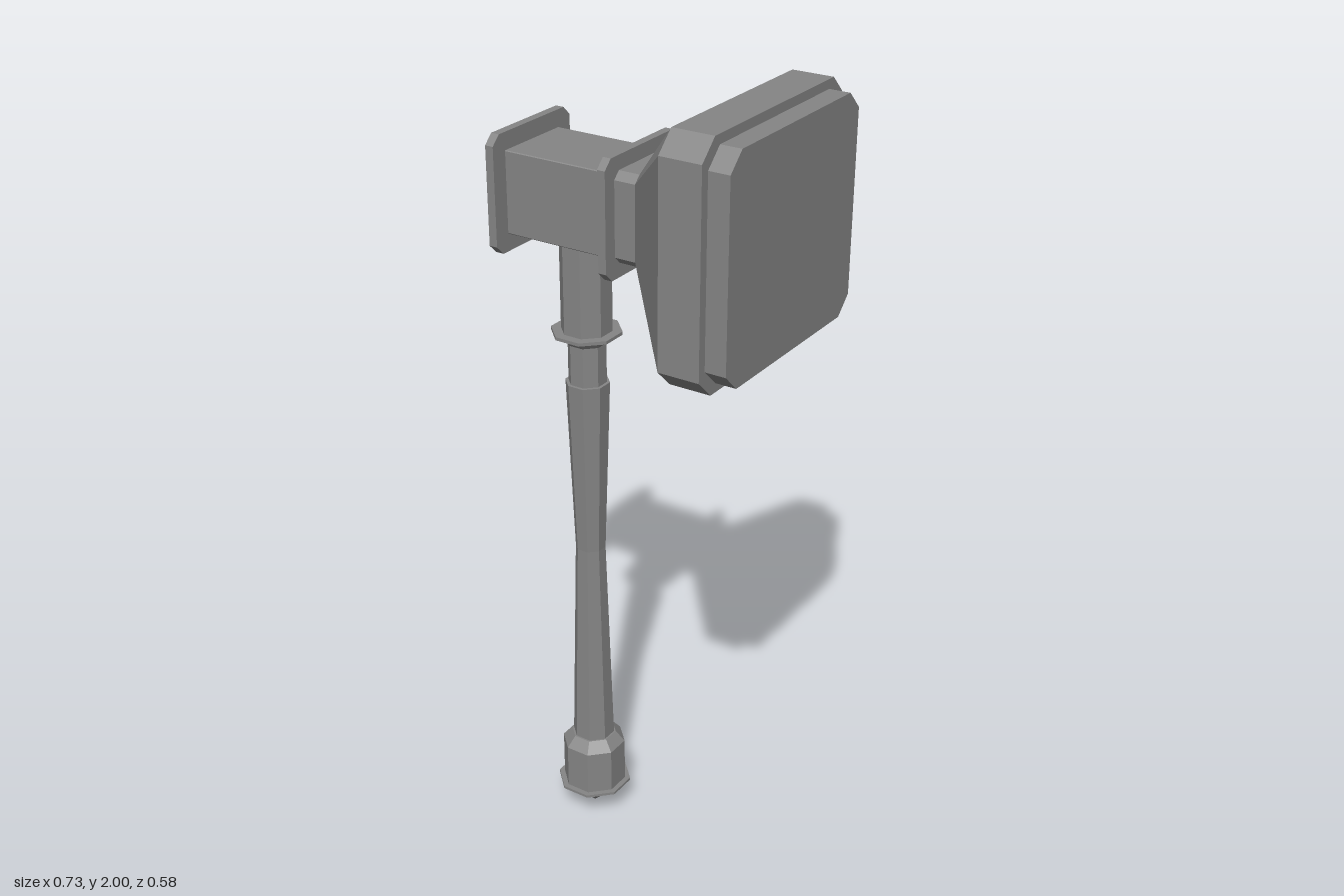
import * as THREE from 'three';

const HEAD_Y = 1.7212;   // axis of the hammer head
const HANDLE_X = -0.173; // axis of the handle
const Y_SCALE = 0.966;   // head is slightly lower than it is wide

const material = new THREE.MeshStandardMaterial({ color: 0x858585, flatShading: true });

function addMesh(group, name, geometry) {
  const flat = geometry.index ? geometry.toNonIndexed() : geometry;
  flat.computeVertexNormals();
  const mesh = new THREE.Mesh(flat, material);
  mesh.name = name;
  group.add(mesh);
}

// Closed loft along x through chamfered squares: [x, half width, chamfer]
function loftX(sections) {
  const rings = sections.map(([x, h, c]) => {
    const k = h - c;
    return [[h, -k], [h, k], [k, h], [-k, h], [-h, k], [-h, -k], [-k, -h], [k, -h]]
      .map(([y, z]) => [x, y * Y_SCALE, z]);
  });
  const pos = [];
  const tri = (...corners) => corners.forEach((p) => pos.push(...p));
  for (let i = 0; i < rings.length - 1; i++) {
    for (let j = 0; j < 8; j++) {
      const n = (j + 1) % 8;
      const a = rings[i][j], b = rings[i][n], c = rings[i + 1][n], d = rings[i + 1][j];
      tri(a, b, c);
      tri(a, c, d);
    }
  }
  const first = rings[0], last = rings[rings.length - 1];
  for (let j = 1; j < 7; j++) {
    tri(first[0], first[j + 1], first[j]);
    tri(last[0], last[j], last[j + 1]);
  }
  const geometry = new THREE.BufferGeometry();
  geometry.setAttribute('position', new THREE.Float32BufferAttribute(pos, 3));
  return geometry;
}

// Octagonal turned part, flats facing the axes: [half width across flats, y]
function octagon(profile) {
  const points = profile.map(([r, y]) => new THREE.Vector2(r / Math.cos(Math.PI / 8), y));
  return new THREE.LatheGeometry(points, 8).rotateY(Math.PI / 8);
}

export function createModel() {
  const model = new THREE.Group();
  model.name = 'warHammer';

  // Head: small rear cap, square body, ring, neck and flared striking end
  const head = new THREE.Group();
  head.name = 'head';
  head.position.set(0, HEAD_Y, -0.001);
  const headParts = {
    rearCap: [[-0.365, 0.1, 0.016], [-0.333, 0.144, 0.023], [-0.312, 0.144, 0.023]],
    body: [[-0.315, 0.101, 0.002], [-0.03, 0.101, 0.002]],
    ring: [[-0.035, 0.144, 0.023], [-0.015, 0.144, 0.023]],
    neck: [[-0.016, 0.109, 0.018], [0.038, 0.109, 0.018]],
    flare: [[0.038, 0.109, 0.018], [0.213, 0.2885, 0.047], [0.314, 0.2885, 0.047]],
    strikingPlate: [[0.31, 0.266, 0.043], [0.365, 0.266, 0.043]],
  };
  for (const [name, sections] of Object.entries(headParts)) addMesh(head, name, loftX(sections));
  model.add(head);

  // Handle: pointed pommel, waisted grip, shaft neck, collar and socket
  const handle = new THREE.Group();
  handle.name = 'handle';
  handle.position.set(HANDLE_X, 0, -0.003);
  const handleParts = {
    pommelTip: [[0, 0], [0.07, 0.075], [0.089, 0.079], [0.089, 0.086], [0, 0.086]],
    pommel: [[0, 0.084], [0.076, 0.084], [0.076, 0.207], [0.054, 0.235], [0, 0.235]],
    grip: [[0, 0.23], [0.05, 0.23], [0.035, 0.8], [0.05, 1.253], [0, 1.255]],
    shaftNeck: [[0, 1.25], [0.043, 1.25], [0.043, 1.36], [0, 1.36]],
    collar: [[0, 1.355], [0.045, 1.355], [0.06, 1.376], [0.079, 1.378], [0.079, 1.386], [0, 1.386]],
    socket: [[0, 1.38], [0.057, 1.38], [0.057, 1.635], [0, 1.635]],
  };
  for (const [name, profile] of Object.entries(handleParts)) addMesh(handle, name, octagon(profile));
  model.add(handle);

  return model;
}
